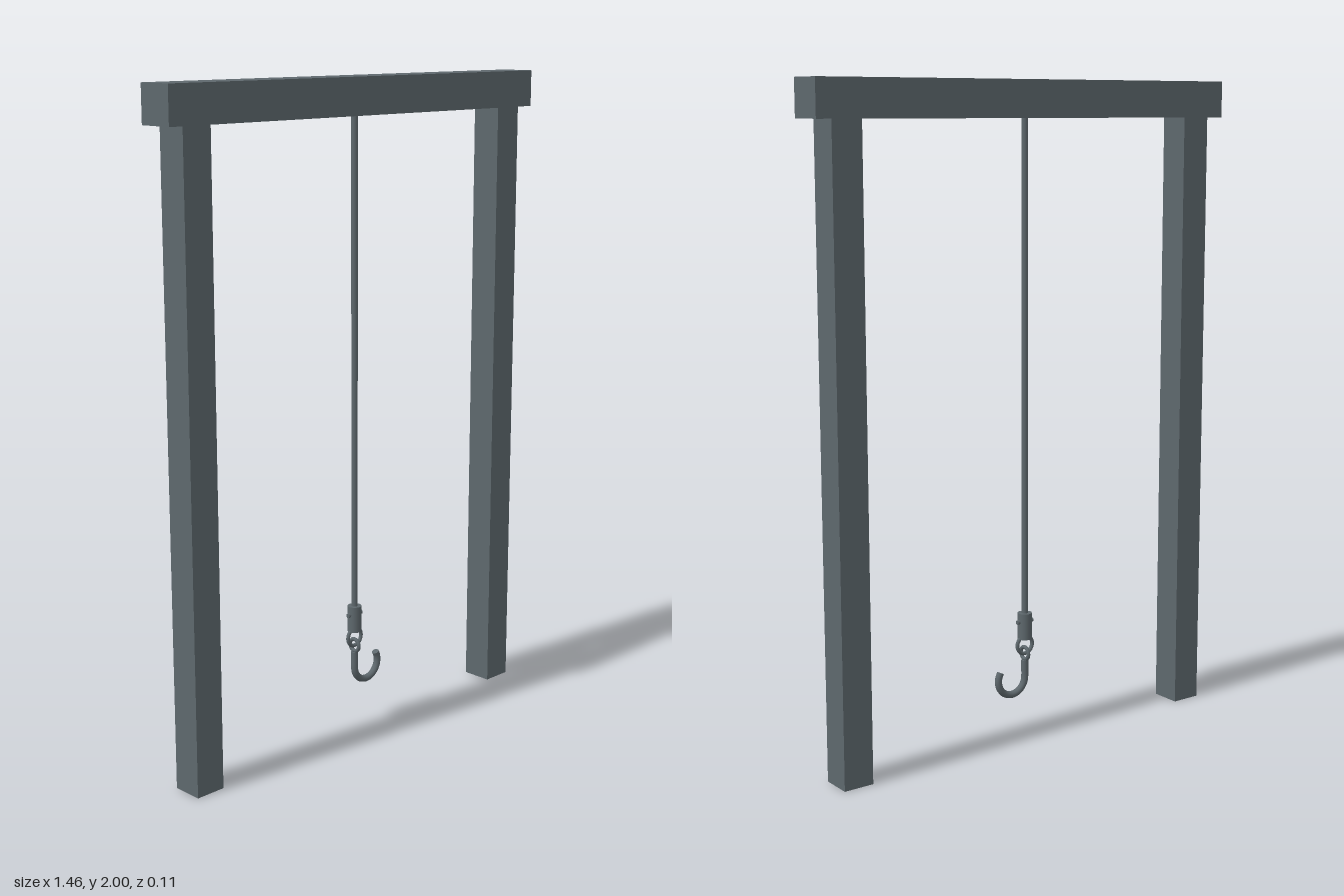
import * as THREE from 'three';

export function createModel() {
  const model = new THREE.Group();
  const steel = new THREE.MeshStandardMaterial({ name: 'slate grey steel', color: 0x5e686d });

  const add = (name, geometry, x = 0, y = 0, z = 0) => {
    const mesh = new THREE.Mesh(geometry, steel);
    mesh.name = name;
    mesh.position.set(x, y, z);
    model.add(mesh);
    return mesh;
  };

  // Frame: crossbeam on two square posts
  add('crossbeam', new THREE.BoxGeometry(1.455, 0.11, 0.112), 0, 1.945, 0);
  for (const [name, side] of [['leftPost', 1], ['rightPost', -1]]) {
    add(name, new THREE.BoxGeometry(0.095, 1.89, 0.095), side * 0.628, 0.945, 0);
  }

  // Cable and its clamp with a cross pin
  add('cable', new THREE.CylinderGeometry(0.01, 0.01, 1.51, 12), 0, 1.14, 0);
  add('cableClamp', new THREE.CylinderGeometry(0.022, 0.022, 0.082, 20), 0, 0.356, 0);
  add('clampPin', new THREE.CylinderGeometry(0.007, 0.007, 0.058, 10), 0, 0.37, 0).rotation.z = Math.PI / 2;

  // Ring below the clamp, linked with the hook's eye
  add('linkRing', new THREE.TorusGeometry(0.028, 0.006, 10, 32), 0, 0.295, 0);
  add('hookEye', new THREE.TorusGeometry(0.019, 0.006, 10, 24), 0, 0.268, 0).rotation.y = Math.PI / 2;

  // Hook: shank, then an arc sweeping round to an upturned tip
  const r = 0.05, cx = 0.05, cy = 0.195;
  const points = [new THREE.Vector3(0, 0.246, 0), new THREE.Vector3(0, 0.222, 0)];
  for (let i = 0; i <= 12; i++) {
    const a = Math.PI + (i / 12) * Math.PI * 1.18;
    points.push(new THREE.Vector3(cx + r * Math.cos(a), cy + r * Math.sin(a), 0));
  }
  const path = new THREE.CatmullRomCurve3(points);
  const radius = 0.011;
  add('hook', new THREE.TubeGeometry(path, 48, radius, 12));

  // Flat caps closing both ends of the hook
  for (const [name, t, sign] of [['hookShankCap', 0, -1], ['hookTipCap', 1, 1]]) {
    const cap = add(name, new THREE.CircleGeometry(radius, 12));
    cap.position.copy(path.getPoint(t));
    cap.quaternion.setFromUnitVectors(new THREE.Vector3(0, 0, 1), path.getTangent(t).multiplyScalar(sign));
  }
  return model;
}
